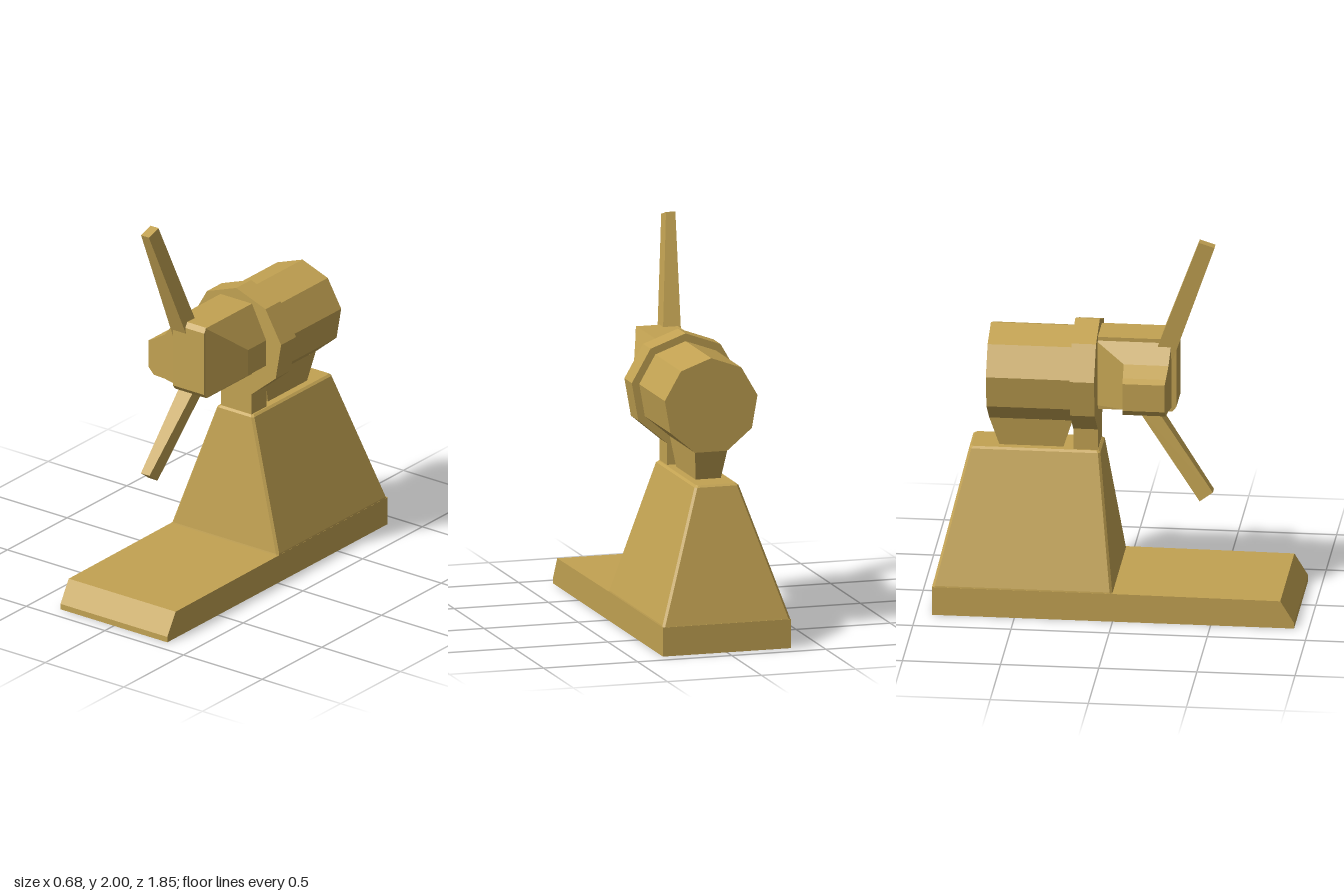
import * as THREE from 'three';

const ochre = new THREE.MeshStandardMaterial({ color: 0xc2a252, flatShading: true });
ochre.name = 'ochre';

// Skin a row of convex rings (equal point counts) and cap both ends
function loft(rings) {
  const tris = [];
  const n = rings[0].length;
  for (let r = 0; r < rings.length - 1; r++) {
    const a = rings[r], b = rings[r + 1];
    for (let i = 0; i < n; i++) {
      const j = (i + 1) % n;
      tris.push([a[i], a[j], b[j]], [a[i], b[j], b[i]]);
    }
  }
  const first = rings[0], last = rings[rings.length - 1];
  for (let i = 1; i < n - 1; i++) {
    tris.push([first[0], first[i + 1], first[i]], [last[0], last[i], last[i + 1]]);
  }
  // Turn every face outward when the signed volume is negative
  let volume = 0;
  const v = (p) => new THREE.Vector3(...p);
  for (const [a, b, c] of tris) volume += v(a).dot(v(b).cross(v(c)));
  const out = tris.flatMap(([a, b, c]) => (volume < 0 ? [a, c, b] : [a, b, c]));
  const geo = new THREE.BufferGeometry();
  geo.setAttribute('position', new THREE.Float32BufferAttribute(out.flat(), 3));
  geo.computeVertexNormals();
  return geo;
}

// Horizontal rectangle with clipped corners
function clippedRect(y, hx, z0, z1, c) {
  return [
    [-hx + c, y, z0], [hx - c, y, z0], [hx, y, z0 + c], [hx, y, z1 - c],
    [hx - c, y, z1], [-hx + c, y, z1], [-hx, y, z1 - c], [-hx, y, z0 + c],
  ];
}

// Horizontal rectangle
const flatRect = (y, hx, z0, z1) => [[-hx, y, z0], [hx, y, z0], [hx, y, z1], [-hx, y, z1]];

// Upright rectangle at a given x
const sideRect = (x, y0, y1, z0, z1) => [[x, y0, z0], [x, y1, z0], [x, y1, z1], [x, y0, z1]];

// Side profile of [z, y] points swept across x
const sweepX = (x0, x1, profile) => loft([x0, x1].map((x) => profile.map(([z, y]) => [x, y, z])));

// Blade section: x range and the two [z, y] ends of its chord
const bladeRing = (x0, x1, [za, ya], [zb, yb]) => [[x0, ya, za], [x1, ya, za], [x1, yb, zb], [x0, yb, zb]];

// Nine-sided drum lying along z, with a corner at the top
function drum(radius, z0, z1) {
  const geo = new THREE.CylinderGeometry(radius, radius, z1 - z0, 9);
  geo.rotateX(-Math.PI / 2);
  geo.translate(0, 1.22, (z0 + z1) / 2);
  return geo;
}

export function createModel() {
  const group = new THREE.Group();
  const add = (name, geo) => {
    const mesh = new THREE.Mesh(geo, ochre);
    mesh.name = name;
    group.add(mesh);
  };

  // Long base slab with a sloping front lip
  add('base', sweepX(-0.34, 0.34, [
    [-0.92, 0], [0.925, 0], [0.925, 0.03], [0.855, 0.145], [0, 0.15], [-0.92, 0.15],
  ]));

  // Tapered pedestal with narrow edge bevels
  add('pedestal', loft([
    clippedRect(0.145, 0.34, -0.92, 0, 0.01),
    clippedRect(0.157, 0.338, -0.917, -0.003, 0.012),
    clippedRect(0.825, 0.117, -0.755, -0.086, 0.012),
    clippedRect(0.835, 0.105, -0.743, -0.098, 0.01),
  ]));

  // Supports under the motor
  add('frontSupport', loft([
    flatRect(0.82, 0.098, -0.225, -0.1), flatRect(0.96, 0.098, -0.225, -0.1),
  ]));
  add('rearSupport', loft([
    flatRect(0.82, 0.065, -0.6, -0.283), flatRect(0.985, 0.0855, -0.654, -0.23),
  ]));

  // Motor housing and collar
  add('motorHousing', drum(0.25, -0.655, -0.22));
  add('collar', drum(0.29, -0.225, -0.1));

  // Hub: centre block, faceted left cheek, blade socket on the right
  add('hubCore', sweepX(-0.1, 0.1, [
    [-0.11, 1.06], [0.28, 1.06], [0.3, 1.085], [0.3, 1.425], [0.28, 1.45], [-0.11, 1.45],
  ]));
  add('hubCheek', loft([
    sideRect(0.1, 1.065, 1.45, -0.11, 0.288), sideRect(0.19, 1.13, 1.27, -0.11, 0.05),
  ]));
  add('bladeSocket', loft([
    sideRect(-0.1, 1.08, 1.43, -0.11, 0.275),
    sideRect(-0.175, 1.09, 1.335, 0.04, 0.268),
    sideRect(-0.25, 1.09, 1.288, 0.043, 0.262),
    sideRect(-0.285, 1.125, 1.27, 0.045, 0.26),
  ]));

  // Two swept blades
  add('upperBlade', loft([
    bladeRing(-0.11, -0.01, [0.285, 1.35], [0.19, 1.37]),
    bladeRing(-0.15, -0.1, [0.5, 1.975], [0.42, 2.0]),
  ]));
  add('lowerBlade', loft([
    bladeRing(-0.11, -0.015, [0.18, 1.105], [0.085, 1.1]),
    bladeRing(-0.157, -0.102, [0.492, 0.65], [0.425, 0.6]),
  ]));

  return group;
}
